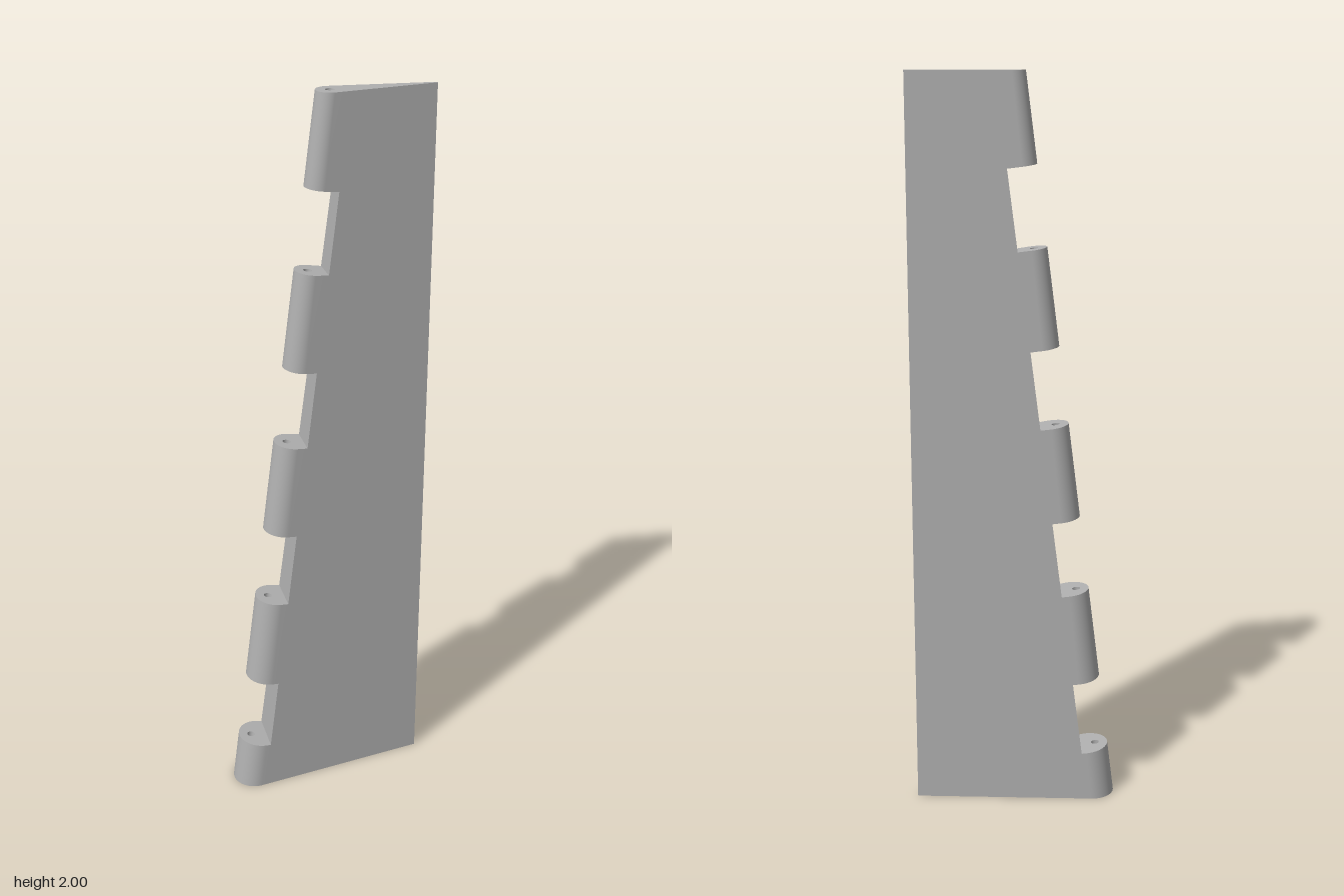
import * as THREE from 'three';

const TRAIL_X = 0.28, TRAIL_Z = 0.003;   // straight trailing edge
const SLOPE = 0.1275, SLOT = 0.081;      // lean of the leading edge, depth of the hinge slots
const PIN_U = 0.035, PIN_R = 0.011;      // pin hole, parallel to the leading edge
const lead = y => -0.28 + SLOPE * y;
const radius = y => 0.062 - 0.0135 * y;

// Tilt of the tangent running from the round nose to the trailing edge
const tangent = y => Math.asin((radius(y) - TRAIL_Z) / (TRAIL_X - lead(y) - radius(y)));

// Half thickness where the tabs meet the blade
function slotZ(y) {
  const r = radius(y), a = tangent(y);
  const u = r + r * Math.sin(a), z = r * Math.cos(a);
  return z + (TRAIL_Z - z) * (SLOT - u) / (TRAIL_X - lead(y) - u);
}

// Put a section rule y -> [u, z] on a cut starting at y0 and tilted by k
function place(rule, y0, k) {
  let y = y0, u, z;
  for (let i = 0; i < 6; i++) {
    [u, z] = rule(y);
    y = y0 - k * (lead(y) + u - lead(y0));
  }
  return new THREE.Vector3(lead(y) + u, y, z);
}

// Section of a tab: back edge, round nose, other back edge
const noseRules = [y => [SLOT, -slotZ(y)]];
const N = 28;
for (let i = 0; i <= N; i++) {
  const f = -1 + 2 * i / N;
  noseRules.push(y => {
    const a = f * (Math.PI / 2 + tangent(y)), r = radius(y);
    return [r - r * Math.cos(a), r * Math.sin(a)];
  });
}
noseRules.push(y => [SLOT, slotZ(y)]);

const pinRules = [];
for (let i = 0; i < 20; i++) {
  const b = i / 20 * Math.PI * 2;
  pinRules.push(() => [PIN_U + PIN_R * Math.cos(b), PIN_R * Math.sin(b)]);
}

function toGeometry(points, index) {
  const g = new THREE.BufferGeometry().setFromPoints(points);
  g.setIndex(index);
  g.computeVertexNormals();
  return g;
}

// Wall through a list of rings
function wall(rings, closed) {
  const n = rings[0].length, index = [];
  for (let j = 0; j < rings.length - 1; j++) {
    for (let i = 0; i < (closed ? n : n - 1); i++) {
      const a = j * n + i, b = j * n + (i + 1) % n;
      index.push(a, b, b + n, a, b + n, a + n);
    }
  }
  return toGeometry(rings.flat(), index);
}

// Flat end with an optional hole
function cap(outer, hole, up) {
  const flat = ring => ring.map(p => new THREE.Vector2(p.x, -p.z));
  const faces = THREE.ShapeUtils.triangulateShape(flat(outer), hole ? [flat(hole)] : []);
  return toGeometry([...outer, ...(hole || [])], faces.flatMap(([a, b, c]) => up ? [a, b, c] : [a, c, b]));
}

export function createModel() {
  const model = new THREE.Group();
  model.name = 'hingedFin';
  const grey = new THREE.MeshStandardMaterial({ color: 0xb0b0b0 });
  grey.name = 'grey';
  const add = (parent, name, geometry) => {
    const mesh = new THREE.Mesh(geometry, grey);
    mesh.name = name;
    parent.add(mesh);
  };

  // Tapered blade behind the hinge line
  const rings = [];
  for (let i = 0; i <= 10; i++) {
    const y = i * 0.2, x = lead(y) + SLOT, z = slotZ(y);
    rings.push([[TRAIL_X, -TRAIL_Z], [x, -z], [x, z], [TRAIL_X, TRAIL_Z]]
      .map(p => new THREE.Vector3(p[0], y, p[1])));
  }
  const sides = wall(rings, true).toNonIndexed();
  sides.computeVertexNormals();
  add(model, 'blade', sides);
  add(model, 'bladeBottom', cap(rings[0], null, false));
  add(model, 'bladeTop', cap(rings[10], null, true));

  // Five hinge tabs with a pin hole, cut square to the leading edge
  [[0, 0.15], [0.36, 0.62], [0.83, 1.09], [1.30, 1.56], [1.77, 2]].forEach(([y0, y1], i) => {
    const tab = new THREE.Group();
    tab.name = 'hingeTab' + (i + 1);
    const ends = [[y0, i === 0 ? 0 : SLOPE], [y1, i === 4 ? 0 : SLOPE]];
    const nose = ends.map(([y, k]) => noseRules.map(rule => place(rule, y, k)));
    const pin = ends.map(([y, k]) => pinRules.map(rule => place(rule, y, k)));
    add(tab, 'tabNose', wall(nose, false));
    add(tab, 'pinHole', wall(pin, true));
    add(tab, 'tabBottom', cap(nose[0], pin[0], false));
    add(tab, 'tabTop', cap(nose[1], pin[1], true));
    model.add(tab);
  });
  return model;
}
